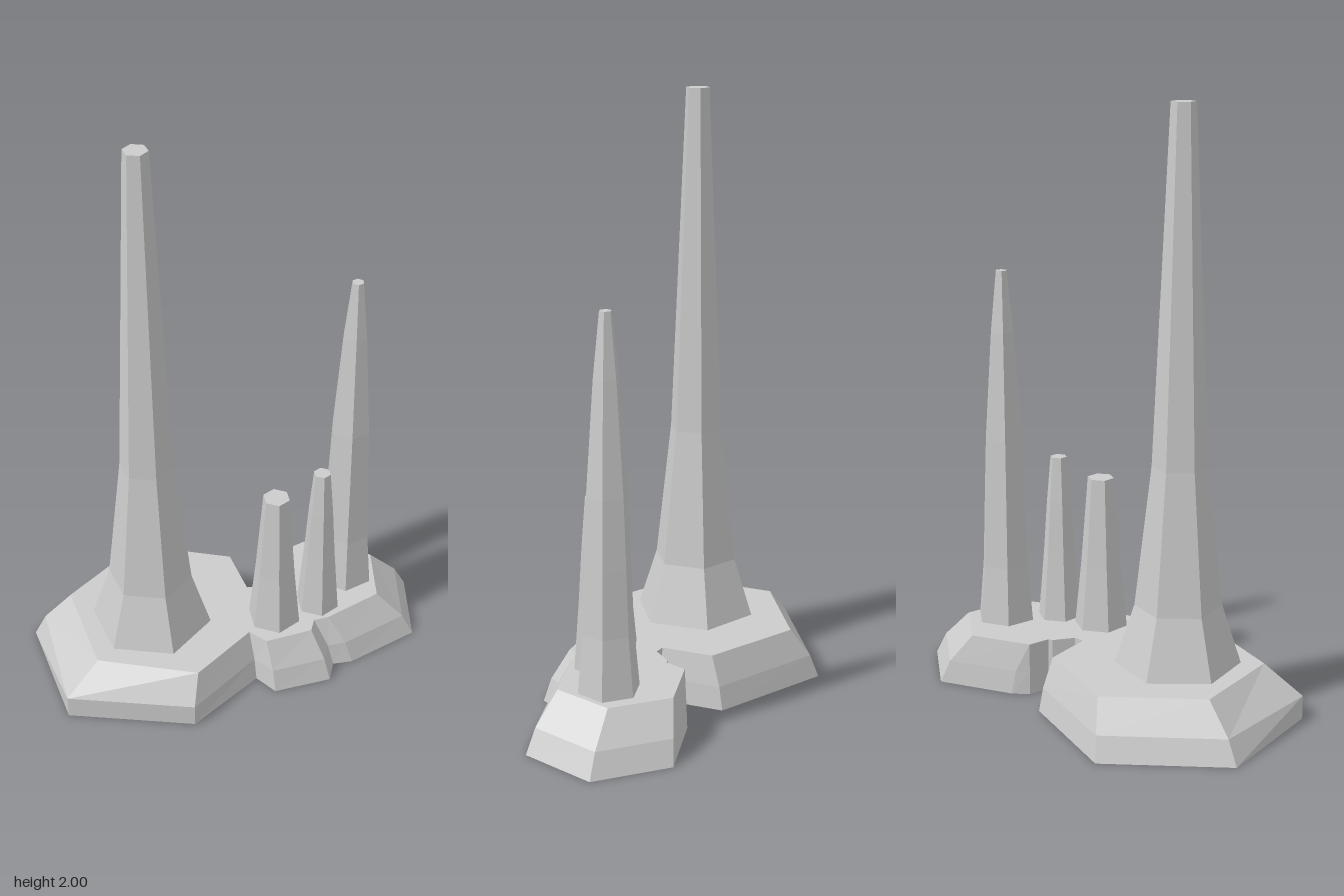
import * as THREE from 'three';

const material = new THREE.MeshStandardMaterial({ color: 0xcccccc, flatShading: true, side: THREE.DoubleSide });

// Outline of the rock base: [foot x, foot z, top x, top z, inset of the middle ring]
const OUTLINE = [
  [-0.69, -0.13, -0.557, -0.11, 0.3],
  [-0.358, -0.415, -0.292, -0.338, 0.3],
  [0.05, -0.27, 0.035, -0.22, 0.3],
  [0.094, -0.045, 0.068, -0.047, 0.3],
  [0.105, -0.047, 0.105, -0.047, 0],
  [0.145, -0.116, 0.145, -0.116, 0],
  [0.16, -0.121, 0.16, -0.121, 0],
  [0.171, -0.198, 0.171, -0.198, 0],
  [0.219, -0.238, 0.185, -0.204, 0.3],
  [0.469, -0.341, 0.37, -0.279, 0.3],
  [0.686, -0.176, 0.542, -0.147, 0.3],
  [0.65, 0.093, 0.517, 0.062, 0.3],
  [0.403, 0.2, 0.322, 0.151, 0.3],
  [0.335, 0.202, 0.27, 0.158, 0.3],
  [0.307, 0.274, 0.25, 0.206, 0.3],
  [0.109, 0.3, 0.087, 0.235, 0.3],
  [0.055, 0.228, 0.037, 0.18, 0.3],
  [-0.189, 0.407, -0.167, 0.347, 0],
  [-0.609, 0.296, -0.495, 0.232, 0],
];

// Bevelled slab: three stacked rings with a cap above and below
function baseGeometry() {
  const n = OUTLINE.length;
  const pos = [], index = [];
  const addRing = (y, t) => OUTLINE.forEach(([x0, z0, x1, z1, inset]) => {
    const k = t === 0.5 ? inset : t;
    pos.push(x0 + (x1 - x0) * k, y, z0 + (z1 - z0) * k);
  });
  addRing(0, 0);
  addRing(0.08, 0.5);
  addRing(0.18, 1);

  for (let r = 0; r < 2; r++) {
    for (let i = 0; i < n; i++) {
      const a = r * n + i, b = r * n + (i + 1) % n;
      index.push(b, a, a + n, b, a + n, b + n);
    }
  }
  for (const [start, up] of [[0, false], [2 * n, true]]) {
    const pts = OUTLINE.map((_, i) => new THREE.Vector2(pos[(start + i) * 3], pos[(start + i) * 3 + 2]));
    for (const [a, b, c] of THREE.ShapeUtils.triangulateShape(pts, [])) {
      const facesUp = THREE.ShapeUtils.area([pts[a], pts[b], pts[c]]) < 0;
      if (facesUp === up) index.push(start + a, start + b, start + c);
      else index.push(start + a, start + c, start + b);
    }
  }
  const geometry = new THREE.BufferGeometry();
  geometry.setAttribute('position', new THREE.Float32BufferAttribute(pos, 3));
  geometry.setIndex(index);
  const flat = geometry.toNonIndexed();
  flat.computeVertexNormals();
  return flat;
}

// Six-sided tapering spire; profile is [radius, height], turn is one corner's angle from +x to +z
function spire(name, x, z, turn, profile) {
  const points = profile.map(([r, y]) => new THREE.Vector2(r, y));
  points.push(new THREE.Vector2(0, points[points.length - 1].y));
  const phi = THREE.MathUtils.degToRad(90 - turn);
  const mesh = new THREE.Mesh(new THREE.LatheGeometry(points, 6, phi), material);
  mesh.name = name;
  mesh.position.set(x, 0, z);
  return mesh;
}

export function createModel() {
  const group = new THREE.Group();
  group.name = 'rockSpires';

  const base = new THREE.Mesh(baseGeometry(), material);
  base.name = 'rockBase';

  group.add(
    base,
    spire('tallSpire', -0.285, 0.042, 16.5, [[0.207, 0.18], [0.143, 0.38], [0.09, 0.85], [0.04, 2]]),
    spire('mediumSpire', 0.425, -0.072, 38, [[0.103, 0.18], [0.085, 0.38], [0.077, 0.6], [0.068, 0.83], [0.042, 1.2], [0.02, 1.41]]),
    spire('thinSpire', 0.3, 0.068, 29, [[0.075, 0.18], [0.055, 0.42], [0.043, 0.6], [0.029, 0.76]]),
    spire('shortSpire', 0.137, 0.11, 29, [[0.092, 0.18], [0.07, 0.4], [0.046, 0.71]]),
  );
  return group;
}
